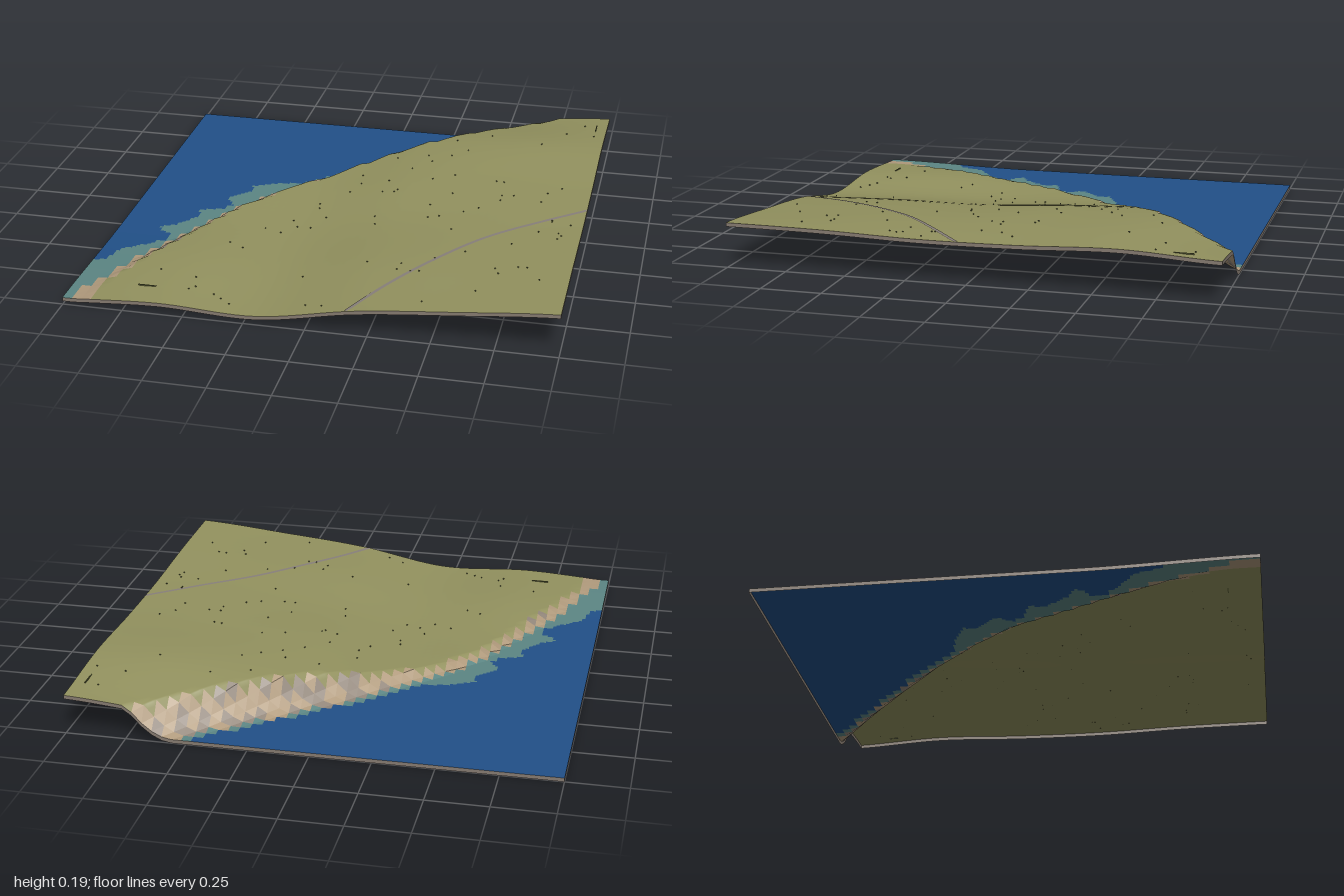
import * as THREE from 'three';

const N = 150, STEP = 2 / N, TILE = 0.04;

// Shore profiles: x position for a given z
const Z = [-1, -0.8, -0.6, -0.4, -0.2, 0, 0.2, 0.4, 0.6, 0.8, 1];
const WATERLINE = [0.56, 0.29, 0.04, -0.2, -0.39, -0.54, -0.63, -0.74, -0.83, -0.9, -0.98];
const GRASSLINE = [0.74, 0.47, 0.2, -0.08, -0.33, -0.5, -0.6, -0.69, -0.78, -0.86, -0.9];
const SHOAL_Z = [-0.3, -0.28, -0.22, -0.17, -0.08, 0.02, 0.07, 0.13, 0.19, 0.24, 0.27, 0.3, 0.35, 0.38, 0.51, 0.62, 0.7, 1];
const SHOAL_X = [-0.3, -0.42, -0.54, -0.53, -0.62, -0.56, -0.71, -0.69, -0.73, -0.77, -0.83, -0.81, -0.71, -0.73, -0.92, -0.95, -1.1, -1.2];

// Land heights, rows z = -1..1 and columns x = -1..1
const LAND = [
  [0.03, 0.04, 0.08, 0.125, 0.135, 0.167],
  [0.03, 0.04, 0.08, 0.145, 0.18, 0.187],
  [0.03, 0.045, 0.065, 0.14, 0.168, 0.174],
  [0.03, 0.045, 0.05, 0.118, 0.16, 0.171],
  [0.03, 0.058, 0.046, 0.118, 0.158, 0.182],
  [0.03, 0.05, 0.038, 0.108, 0.15, 0.185],
];

const clamp = THREE.MathUtils.clamp;

function lerpTable(keys, vals, k) {
  if (k <= keys[0]) return vals[0];
  for (let i = 1; i < keys.length; i++) {
    if (k <= keys[i]) {
      return vals[i - 1] + (vals[i] - vals[i - 1]) * (k - keys[i - 1]) / (keys[i] - keys[i - 1]);
    }
  }
  return vals[vals.length - 1];
}

// Smooth curve through six evenly spaced values
function spline(v, t) {
  const i = Math.min(4, Math.floor(t)), f = t - i;
  const a = v[Math.max(0, i - 1)], b = v[i], c = v[i + 1], d = v[Math.min(5, i + 2)];
  return b + 0.5 * f * (c - a + f * (2 * a - 5 * b + 4 * c - d + f * (3 * (b - c) + d - a)));
}

function rawHeight(x, z) {
  const u = clamp((x + 1) * 2.5, 0, 5), v = clamp((z + 1) * 2.5, 0, 5);
  const land = spline(LAND.map((row) => spline(row, u)), v);
  const sea = 0.016 + 0.014 * THREE.MathUtils.smoothstep(z, 0.3, 1);
  const w = lerpTable(Z, WATERLINE, z), g = lerpTable(Z, GRASSLINE, z);
  return sea + (land - sea) * Math.pow(clamp((x - w) / (g - w), 0, 1), 1.8);
}

// Heights sampled on the coarse tile lattice, giving faceted cliffs
const lattice = [];
for (let j = 0; j <= 50; j++) {
  lattice.push(Array.from({ length: 51 }, (_, i) => rawHeight(-1 + i * TILE, -1 + j * TILE)));
}
function height(x, z) {
  const u = clamp((x + 1) / TILE, 0, 50), v = clamp((z + 1) / TILE, 0, 50);
  const i = Math.min(49, Math.floor(u + 1e-6)), j = Math.min(49, Math.floor(v + 1e-6));
  const f = u - i, g = v - j;
  const a = lattice[j][i], b = lattice[j][i + 1], c = lattice[j + 1][i], d = lattice[j + 1][i + 1];
  return f + g < 1 ? a + f * (b - a) + g * (c - a) : d + (1 - f) * (c - d) + (1 - g) * (b - d);
}

function random(seed) {
  let s = seed;
  return () => (s = (s * 16807) % 2147483647) / 2147483647;
}

// Which ground cover a small cell belongs to
function cover(x, z) {
  const i = Math.floor((x + 1) / TILE), j = Math.floor((z + 1) / TILE);
  const cx = -1 + (i + 0.5) * TILE, cz = -1 + (j + 0.5) * TILE;
  const w = lerpTable(Z, WATERLINE, cz), g = lerpTable(Z, GRASSLINE, cz);
  if (cx > g) return 'grass';
  const hash = ((i * 73 + j * 151 + i * j * 31) % 97) / 97;
  if (cx > w) return hash < (cz < -0.35 ? 0.3 : 0.08) ? 'rock' : 'sand';
  if (cx > w - 0.035) return 'shallowWater';
  if (z > -0.29 && x > lerpTable(SHOAL_Z, SHOAL_X, z)) return 'shallowWater';
  return 'deepWater';
}

function surface(pos, index, smooth) {
  let geo = new THREE.BufferGeometry();
  geo.setAttribute('position', new THREE.Float32BufferAttribute(pos, 3));
  geo.setIndex(index);
  if (!smooth) geo = geo.toNonIndexed();
  geo.computeVertexNormals();
  return geo;
}

// Strip between two equally long rows of points
function ribbon(rowA, rowB) {
  const pos = [], index = [];
  rowA.forEach((p, i) => {
    pos.push(...p, ...rowB[i]);
    if (i) index.push(2 * i - 2, 2 * i - 1, 2 * i, 2 * i, 2 * i - 1, 2 * i + 1);
  });
  return surface(pos, index, true);
}

export function createModel() {
  const group = new THREE.Group();
  const mats = {};
  const colours = {
    grass: 0x93925f, sand: 0xb09a7c, rock: 0x92867a, shallowWater: 0x5c8684,
    deepWater: 0x215088, edge: 0x857a70, path: 0x88807a, shrub: 0x5c6138,
  };
  for (const [name, color] of Object.entries(colours)) {
    mats[name] = new THREE.MeshStandardMaterial({ color, side: THREE.DoubleSide });
    mats[name].name = name;
  }
  const add = (name, geo, mat) => {
    const mesh = new THREE.Mesh(geo, mats[mat]);
    mesh.name = name;
    group.add(mesh);
    return mesh;
  };

  // Terrain sheet, one mesh for each ground cover
  const pos = [], faces = {};
  for (let j = 0; j <= N; j++) {
    for (let i = 0; i <= N; i++) {
      const x = -1 + i * STEP, z = -1 + j * STEP;
      pos.push(x, height(x, z), z);
      if (i === N || j === N) continue;
      const a = j * (N + 1) + i, c = a + N + 1;
      const kind = cover(x + STEP / 2, z + STEP / 2);
      (faces[kind] ||= []).push(a, c, a + 1, a + 1, c, c + 1);
    }
  }
  for (const kind in faces) add(kind, surface(pos, faces[kind], kind === 'grass'), kind);

  // Thin skirt around the four sides
  const sides = {
    frontEdge: (t) => [t, 1], backEdge: (t) => [-t, -1],
    leftEdge: (t) => [1, -t], rightEdge: (t) => [-1, t],
  };
  for (const name in sides) {
    const top = [], bottom = [];
    for (let i = 0; i <= 50; i++) {
      const [x, z] = sides[name](-1 + i * TILE);
      const y = height(x, z);
      top.push([x, y, z]);
      bottom.push([x, y - 0.016, z]);
    }
    add(name, ribbon(top, bottom), 'edge');
  }

  // Footpath draped over the grass
  const curve = new THREE.CatmullRomCurve3(
    [[1, 0.04], [0.83, 0.18], [0.6, 0.38], [0.42, 0.6], [0.28, 0.8], [0.165, 1]]
      .map(([x, z]) => new THREE.Vector3(x, 0, z)));
  const left = [], right = [];
  for (let i = 0; i <= 80; i++) {
    const p = curve.getPointAt(i / 80), t = curve.getTangentAt(i / 80);
    for (const [row, s] of [[left, -0.008], [right, 0.008]]) {
      const x = clamp(p.x - t.z * s, -1, 1), z = clamp(p.z + t.x * s, -1, 1);
      row.push([x, height(x, z) + 0.0025, z]);
    }
  }
  add('path', ribbon(right, left), 'path');

  // Tiny scattered shrubs
  const rnd = random(77);
  const shrub = new THREE.IcosahedronGeometry(0.0035, 0);
  for (let n = 0; n < 80;) {
    const x = rnd() * 1.9 - 0.95, z = rnd() * 1.9 - 0.95;
    if (x < lerpTable(Z, GRASSLINE, z) + 0.1) continue;
    add('shrub', shrub, 'shrub').position.set(x, height(x, z) + 0.002, z);
    n++;
  }

  // Two low hedges
  for (const [x, z, w, d] of [[0.95, -0.845, 0.004, 0.08], [-0.685, 0.867, 0.075, 0.004]]) {
    add('hedge', new THREE.BoxGeometry(w, 0.005, d), 'shrub').position.set(x, height(x, z) + 0.002, z);
  }
  return group;
}
